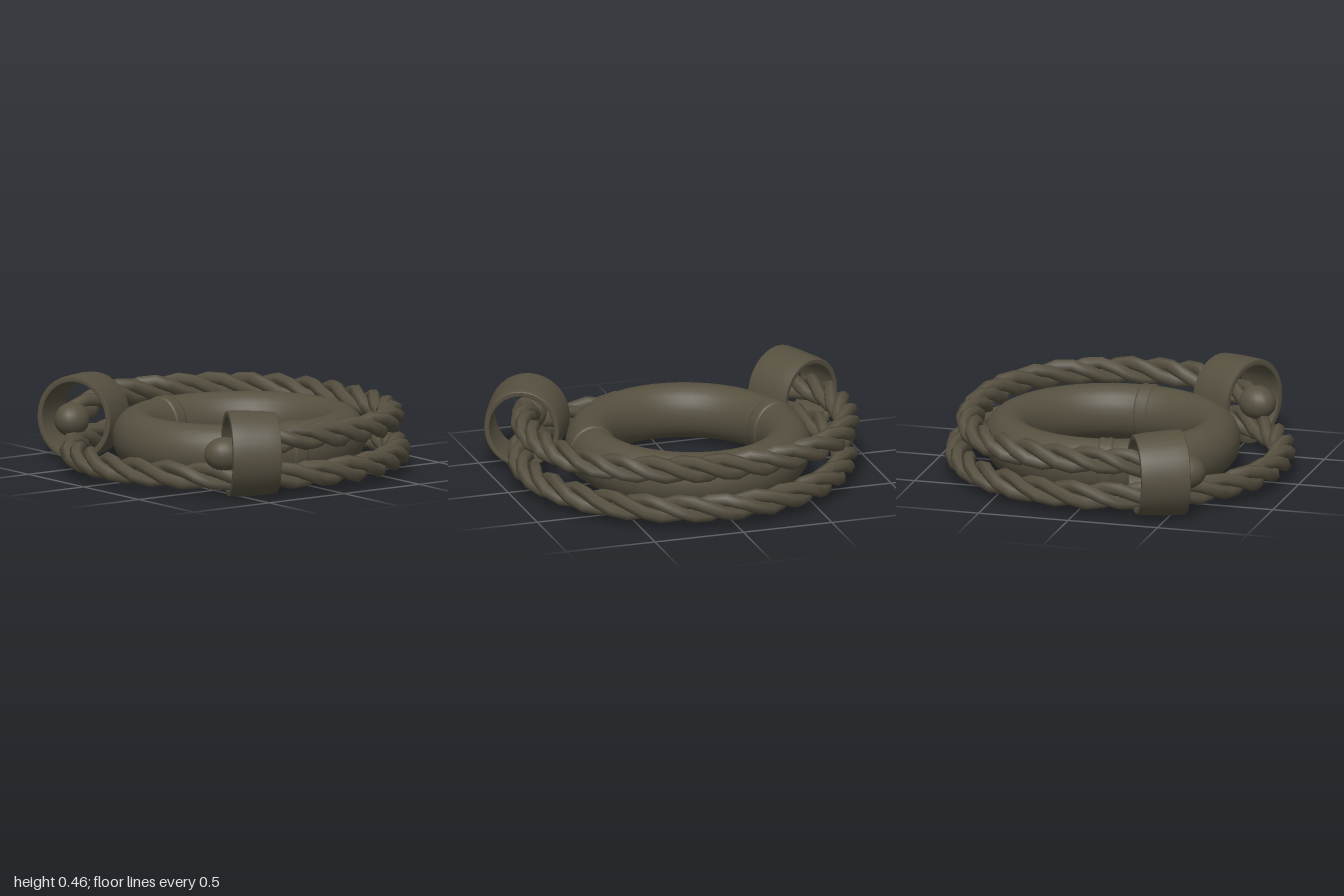
import * as THREE from 'three';

export function createModel() {
  const model = new THREE.Group();
  const bronze = new THREE.MeshStandardMaterial({ color: 0x565040 });
  bronze.name = 'darkBronze';

  const add = (name, geometry, parent = model) => {
    const mesh = new THREE.Mesh(geometry, bronze);
    mesh.name = name;
    parent.add(mesh);
    return mesh;
  };

  // Loosely twisted three-strand rope that follows a path
  function addRope(name, path, turns, closed) {
    const rope = new THREE.Group();
    rope.name = name;
    const steps = turns * 12;
    const up = new THREE.Vector3(0, 1, 0);
    for (let s = 0; s < 3; s++) {
      const points = [];
      const count = closed ? steps : steps + 1;
      for (let i = 0; i < count; i++) {
        const u = i / steps;
        const phase = -u * turns * Math.PI * 2 + (s * Math.PI * 2) / 3;
        const out = path.getTangentAt(u).cross(up).normalize();
        points.push(path.getPointAt(u)
          .addScaledVector(out, 0.042 * Math.cos(phase))
          .addScaledVector(up, 0.044 * Math.sin(phase)));
      }
      const curve = new THREE.CatmullRomCurve3(points, closed);
      curve.arcLengthDivisions = 600;
      add('strand', new THREE.TubeGeometry(curve, turns * 7, 0.036, 6, closed), rope);
    }
    model.add(rope);
  }

  // Lower rope: a full circle
  const circle = [];
  for (let i = 0; i < 24; i++) {
    const a = (i / 24) * Math.PI * 2;
    circle.push(new THREE.Vector3(0.015 + 0.87 * Math.sin(a), 0.11, 0.87 * Math.cos(a)));
  }
  addRope('lowerRope', new THREE.CatmullRomCurve3(circle, true), 9, true);

  // Upper rope: open at the front, ending in the balls
  const half = [[0.69, 0.24, 0.57], [0.765, 0.28, 0.42], [0.84, 0.31, 0.2], [0.86, 0.31, -0.05],
    [0.79, 0.31, -0.36], [0.62, 0.31, -0.59], [0.34, 0.31, -0.74]];
  const arc = [...half, [0, 0.31, -0.785], ...half.map(([x, y, z]) => [-x, y, z]).reverse()];
  addRope('upperRope', new THREE.CatmullRomCurve3(arc.map((p) => new THREE.Vector3(...p))), 7, false);

  // Oval ring in the middle, taller than it is thick
  const ring = new THREE.Group();
  ring.name = 'middleRing';
  ring.position.y = 0.18;
  ring.scale.y = 1.17;
  model.add(ring);
  const ringPoint = (a) => new THREE.Vector3(-0.005 + 0.53 * Math.cos(a), 0, -0.04 + 0.565 * Math.sin(a));
  const oval = [];
  for (let i = 0; i < 32; i++) oval.push(ringPoint((i / 32) * Math.PI * 2));
  add('ovalRing', new THREE.TubeGeometry(new THREE.CatmullRomCurve3(oval, true), 48, 0.128, 24, true), ring);

  // Raised collars where the two halves of the ring join
  const collarProfile = [[0.115, -0.05], [0.132, -0.038], [0.136, -0.025], [0.132, 0],
    [0.136, 0.025], [0.132, 0.038], [0.115, 0.05]].map(([r, y]) => new THREE.Vector2(r, y));
  for (const a of [0.09, Math.PI - 0.21]) {
    const collar = add('ringCollar', new THREE.LatheGeometry(collarProfile, 24), ring);
    collar.position.copy(ringPoint(a));
    const tangent = new THREE.Vector3(-0.53 * Math.sin(a), 0, 0.565 * Math.cos(a)).normalize();
    collar.quaternion.setFromUnitVectors(new THREE.Vector3(0, 1, 0), tangent);
  }

  // Open cuffs around both ropes, with slightly long end balls
  const cuffProfile = [[0.21, -0.133], [0.217, -0.128], [0.225, -0.06], [0.231, 0.06], [0.231, 0.128],
    [0.226, 0.133], [0.203, 0.133], [0.198, 0.128], [0.19, 0], [0.185, -0.128], [0.19, -0.133], [0.21, -0.133]]
    .map(([r, y]) => new THREE.Vector2(r, y));
  for (const side of [1, -1]) {
    const cuff = add(side > 0 ? 'leftCuff' : 'rightCuff', new THREE.LatheGeometry(cuffProfile, 32));
    cuff.position.set(side * 0.757, 0.236, 0.437);
    cuff.rotation.set(Math.PI / 2, side * -0.48, 0, 'YXZ');
    cuff.scale.x = 0.95;

    const ball = add(side > 0 ? 'leftEndBall' : 'rightEndBall', new THREE.SphereGeometry(0.092, 20, 14));
    ball.position.set(side * 0.69, 0.235, 0.57);
    ball.rotation.y = side * -0.48;
    ball.scale.z = 1.18;
  }

  return model;
}
